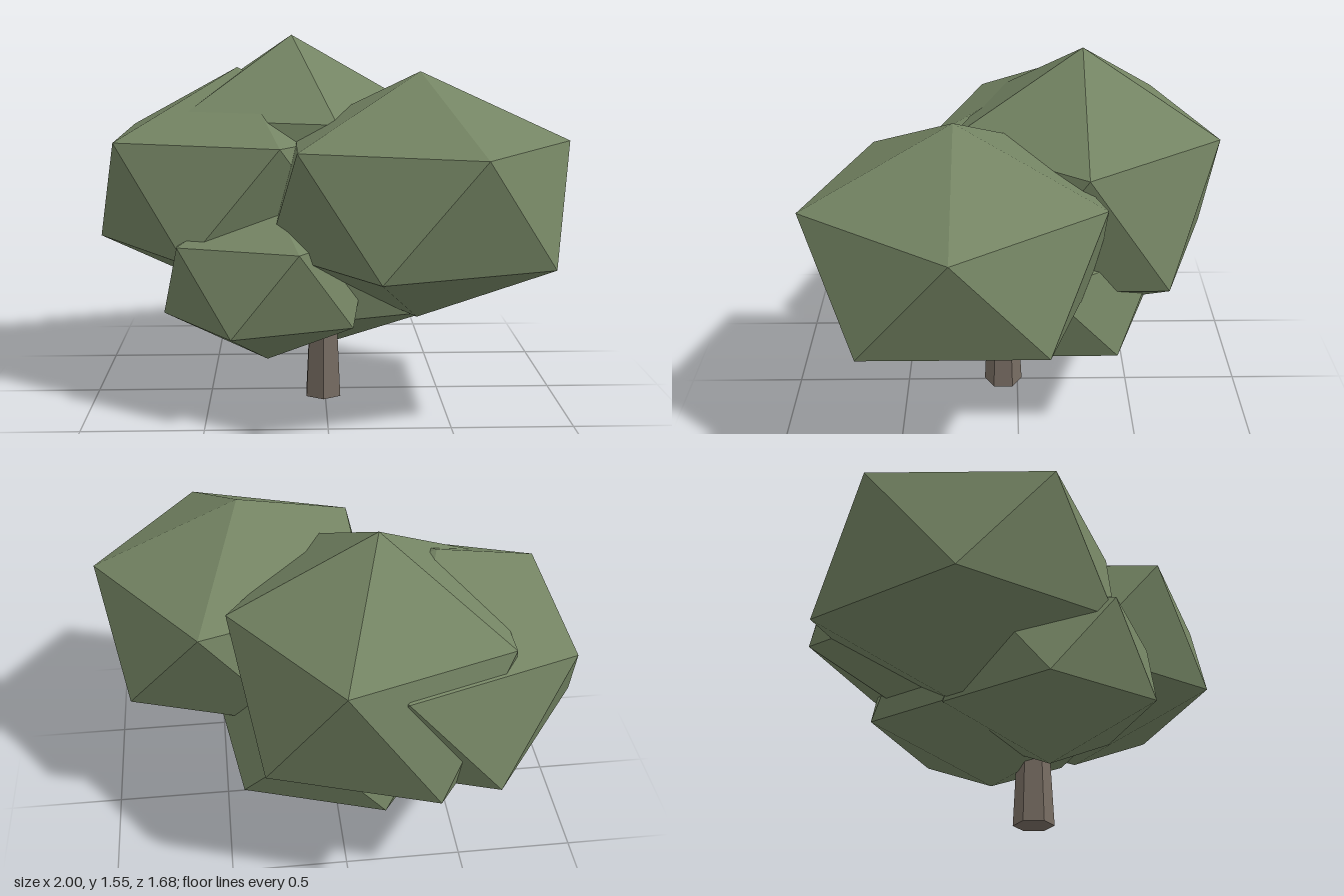
import * as THREE from 'three';

const leafMaterial = new THREE.MeshStandardMaterial({ color: 0x748463 });
leafMaterial.name = 'leaf green';
const barkMaterial = new THREE.MeshStandardMaterial({ color: 0x776c62 });
barkMaterial.name = 'bark brown';

// Flattened icosahedron standing on a vertex, with an upper-ring corner facing +x
function leafCluster(name, [x, y, z], ringRadius, halfHeight) {
  const geometry = new THREE.IcosahedronGeometry(1, 0);
  geometry.rotateZ(-Math.atan(2 / (1 + Math.sqrt(5))));
  const radius = ringRadius / 0.8944;
  geometry.scale(radius, halfHeight, radius);
  geometry.computeVertexNormals();
  const mesh = new THREE.Mesh(geometry, leafMaterial);
  mesh.name = name;
  mesh.position.set(x, y, z);
  return mesh;
}

export function createModel() {
  const tree = new THREE.Group();
  tree.name = 'tree';

  // Tapered six-sided trunk, running up into the foliage
  const trunkGeometry = new THREE.CylinderGeometry(0.059, 0.085, 0.5, 6).toNonIndexed();
  trunkGeometry.computeVertexNormals();
  const trunk = new THREE.Mesh(trunkGeometry, barkMaterial);
  trunk.name = 'trunk';
  trunk.position.set(-0.008, 0.25, 0.065);
  tree.add(trunk);

  // Overlapping foliage: name, centre, ring radius, half height
  const clusters = [
    ['frontLeftFoliage', [0.38, 0.91, 0.25], 0.62, 0.513],
    ['backTopFoliage', [-0.14, 0.935, -0.275], 0.597, 0.615],
    ['rightFoliage', [-0.38, 0.892, -0.205], 0.62, 0.52],
    ['lowerFrontFoliage', [-0.25, 0.56, 0.13], 0.44, 0.38],
    ['lowerBackFoliage', [0.01, 0.582, -0.11], 0.515, 0.407],
  ];
  for (const cluster of clusters) tree.add(leafCluster(...cluster));

  return tree;
}
